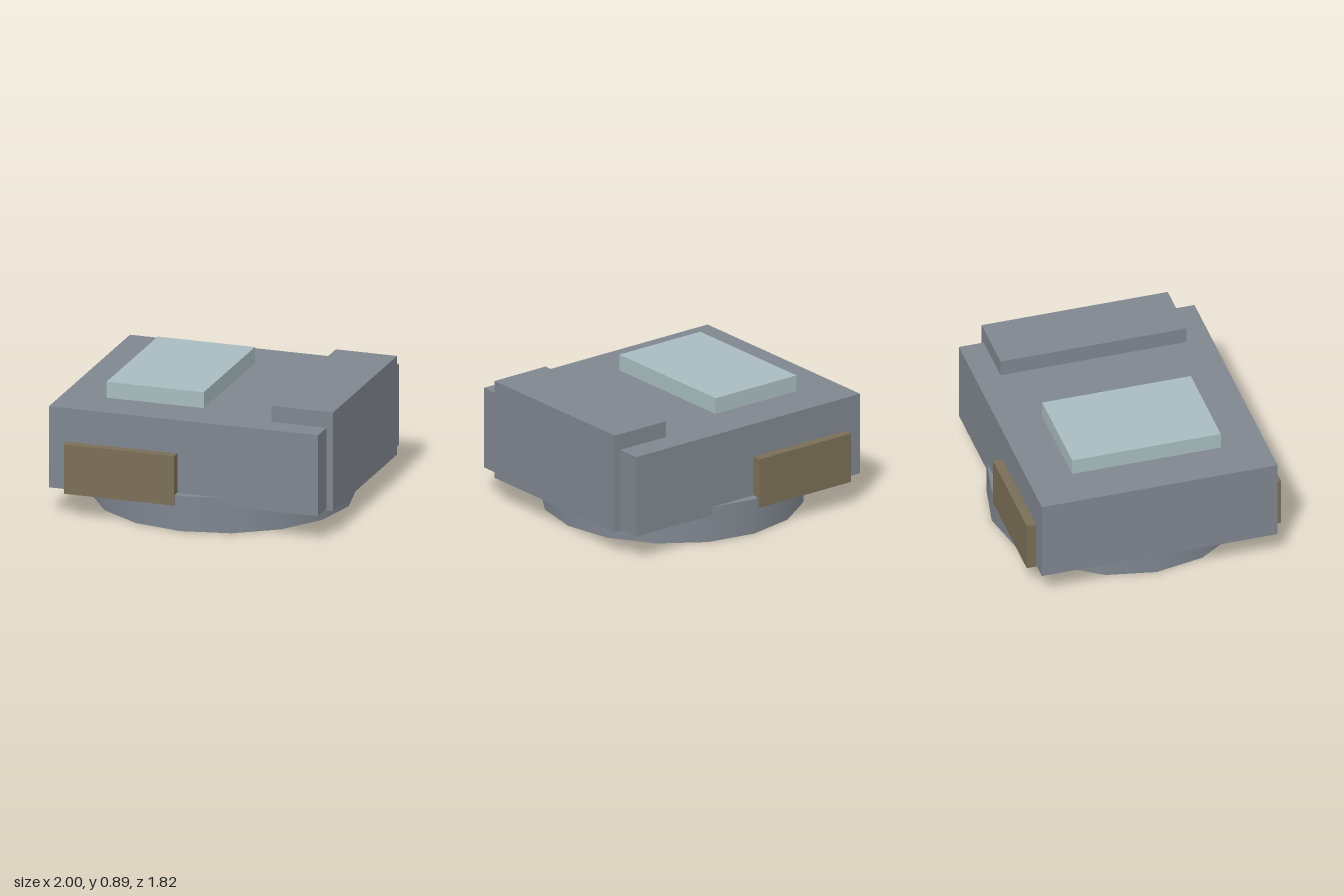
import * as THREE from 'three';

const hull = new THREE.MeshStandardMaterial({ name: 'hull grey', color: 0x7f868f });
const ringGrey = new THREE.MeshStandardMaterial({ name: 'ring grey', color: 0x7f868f, side: THREE.DoubleSide });
const bronze = new THREE.MeshStandardMaterial({ name: 'bronze', color: 0x7a6e56 });
const glass = new THREE.MeshStandardMaterial({ name: 'pale glass', color: 0xa8bcc0 });

// Box given by its limits on each axis
function block(name, material, [x0, x1], [y0, y1], [z0, z1]) {
  const mesh = new THREE.Mesh(new THREE.BoxGeometry(x1 - x0, y1 - y0, z1 - z0), material);
  mesh.name = name;
  mesh.position.set((x0 + x1) / 2, (y0 + y1) / 2, (z0 + z1) / 2);
  return mesh;
}

export function createModel() {
  const model = new THREE.Group();
  model.name = 'turret';

  // Main housing, end block and roof hatch
  model.add(
    block('housing', hull, [-1, 0.953], [0.192, 0.775], [-0.843, 0.843]),
    block('endBlock', hull, [0.555, 1], [0.18, 0.89], [-0.666, 0.666]),
    block('roofHatch', glass, [-0.69, 0.016], [0.7, 0.89], [-0.532, 0.532])
  );

  // Side boxes, sunk into the housing
  for (const [name, z] of [['frontSideBox', [0.605, 0.91]], ['backSideBox', [-0.91, -0.605]]]) {
    model.add(block(name, bronze, [-0.866, -0.068], [0.18, 0.535], z));
  }

  // Turning ring: sixteen-sided wall, closed on top and open below
  const ring = new THREE.Group();
  ring.name = 'turningRing';
  ring.position.x = -0.024;
  const radius = 0.906, height = 0.252;
  const wall = new THREE.Mesh(new THREE.CylinderGeometry(radius, radius, height, 16, 1, true), ringGrey);
  wall.name = 'ringWall';
  wall.position.y = height / 2;
  const cap = new THREE.Mesh(new THREE.CircleGeometry(radius, 16).rotateX(-Math.PI / 2), ringGrey);
  cap.name = 'ringTop';
  cap.position.y = height;
  ring.add(wall, cap);
  model.add(ring);

  return model;
}
